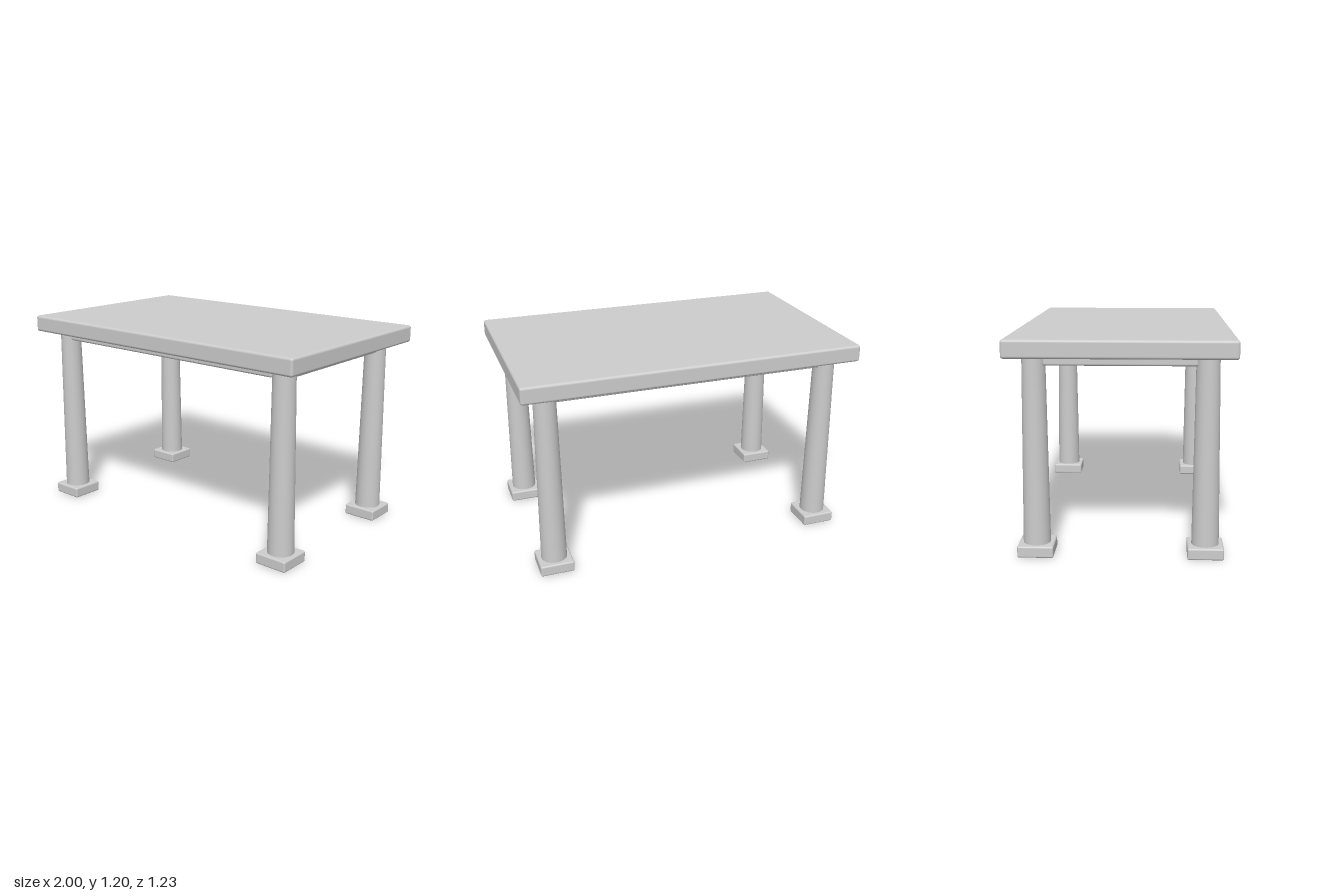
import * as THREE from 'three';
import { RoundedBoxGeometry } from 'three/addons/geometries/RoundedBoxGeometry.js';

export function createModel() {
  const table = new THREE.Group();
  table.name = 'table';
  const grey = new THREE.MeshStandardMaterial({ color: 0xcccccc });
  grey.name = 'light grey';

  const add = (name, geometry, x, y, z) => {
    const mesh = new THREE.Mesh(geometry, grey);
    mesh.name = name;
    mesh.position.set(x, y, z);
    table.add(mesh);
  };
  // Box with softened edges, standing between two heights
  const slab = (name, w, d, y0, y1, radius, x = 0, z = 0) =>
    add(name, new RoundedBoxGeometry(w, y1 - y0, d, 3, radius), x, (y0 + y1) / 2, z);

  // Table top
  slab('tableTop', 2, 1.228, 1.1, 1.2, 0.015);

  // Apron: two crossing slabs that leave the corners free for the legs
  slab('apronLong', 1.59, 1.02, 1.05, 1.13, 0.012);
  slab('apronWide', 1.78, 0.82, 1.05, 1.13, 0.012);

  // Tapered round legs on square feet
  for (const sx of [-1, 1]) {
    for (const sz of [-1, 1]) {
      const name = (sz > 0 ? 'front' : 'back') + (sx > 0 ? 'Left' : 'Right');
      const x = sx * 0.847, z = sz * 0.463;
      add(name + 'Leg', new THREE.CylinderGeometry(0.063, 0.076, 1.1, 32), x, 0.57, z);
      slab(name + 'Foot', 0.198, 0.198, 0, 0.065, 0.01, x, z);
    }
  }
  return table;
}
